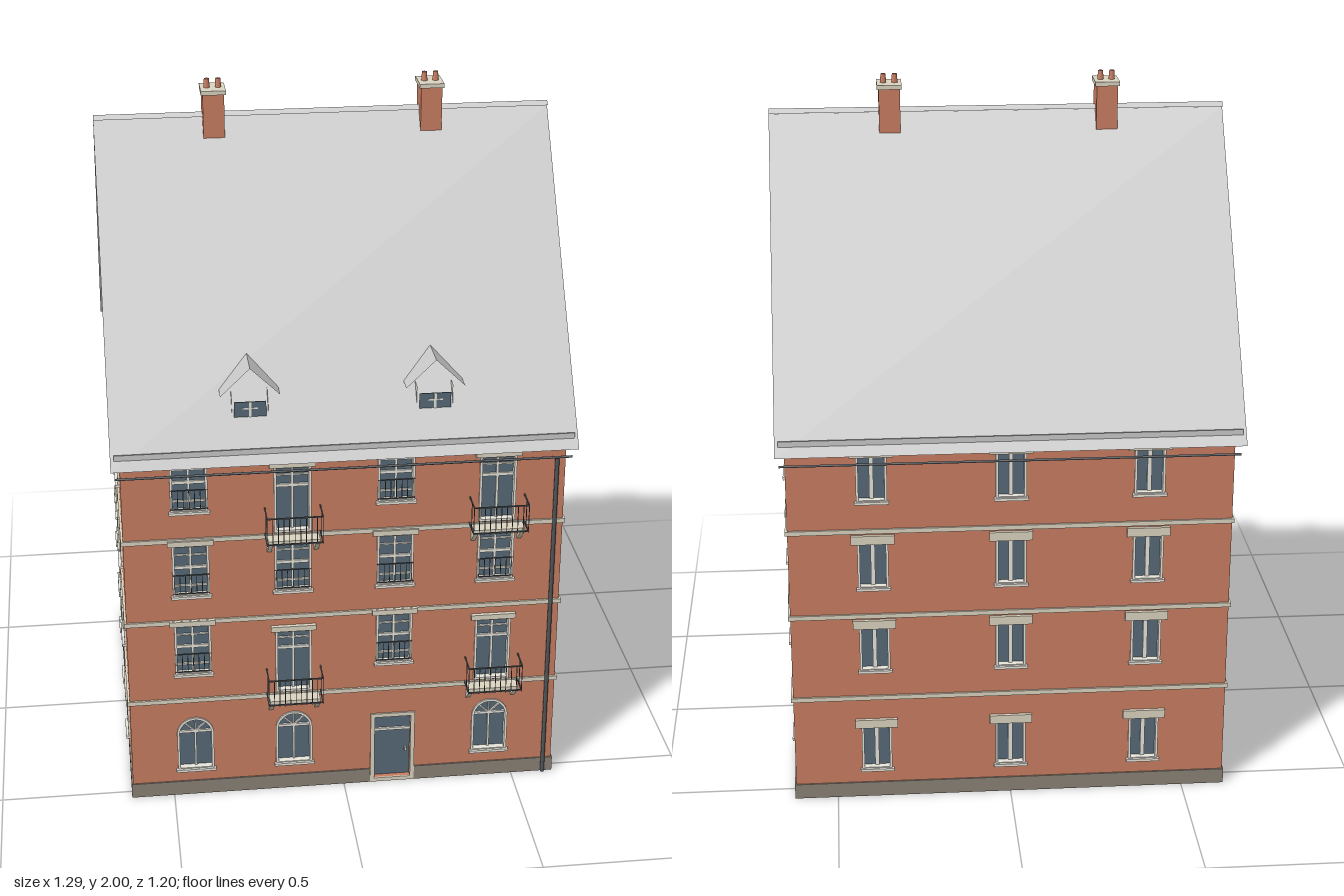
import * as THREE from 'three';

const mat = (name, color, side = THREE.FrontSide) => {
  const m = new THREE.MeshStandardMaterial({ color, side });
  m.name = name;
  return m;
};
const brick = mat('brick', 0xc87d61);
const gableBrick = mat('gable brick', 0xc68a72, THREE.DoubleSide);
const stone = mat('cream stone', 0xdad3c0, THREE.DoubleSide);
const white = mat('white paint', 0xeeebe2);
const slate = mat('grey roof', 0xc8c8c8, THREE.DoubleSide);
const glass = mat('blue grey glass', 0x566976);
const iron = mat('dark iron', 0x505458);
const plinthGrey = mat('plinth grey', 0x898176);

function add(parent, name, geometry, material, x = 0, y = 0, z = 0) {
  const m = new THREE.Mesh(geometry, material);
  m.name = name;
  m.position.set(x, y, z);
  parent.add(m);
  return m;
}
const box = (parent, name, material, w, h, d, x, y, z) =>
  add(parent, name, new THREE.BoxGeometry(w, h, d), material, x, y, z);

// Flat convex face from corner points, counter-clockwise from outside
function face(parent, name, material, pts) {
  const g = new THREE.BufferGeometry();
  g.setAttribute('position', new THREE.Float32BufferAttribute(pts.flat(), 3));
  g.setIndex(pts.length === 4 ? [0, 1, 2, 0, 2, 3] : [0, 1, 2]);
  g.computeVertexNormals();
  return add(parent, name, g, material);
}

const extrude = (shape, depth) =>
  new THREE.ExtrudeGeometry(shape, { depth, bevelEnabled: false, curveSegments: 16 });

// Outline of an opening, inset by i, with a straight or round head
function outline(o, i = 0, Type = THREE.Path) {
  const p = new Type(), h = o.w / 2 - i;
  p.moveTo(o.x - h, o.y0 + i);
  p.lineTo(o.x + h, o.y0 + i);
  if (o.kind === 'arch') {
    p.lineTo(o.x + h, o.y1 - o.w / 2);
    p.absarc(o.x, o.y1 - o.w / 2, h, 0, Math.PI, false);
  } else {
    p.lineTo(o.x + h, o.y1 - i);
    p.lineTo(o.x - h, o.y1 - i);
  }
  p.closePath();
  return p;
}

// Window or door: glazing, surround, bars and lintel
function buildOpening(parent, o) {
  const g = new THREE.Group();
  g.name = o.kind === 'door' ? 'frontDoor' : 'window';
  parent.add(g);
  const { x, w, y0, y1, kind } = o, h = y1 - y0;
  add(g, 'pane', extrude(outline(o, 0, THREE.Shape), 0.008), glass, 0, 0, -0.022);
  const ring = outline(o, kind === 'door' ? -0.012 : 0, THREE.Shape);
  ring.holes.push(outline(o, kind === 'door' ? 0 : 0.007));
  add(g, 'surround', extrude(ring, 0.02), kind === 'door' ? stone : white, 0, 0, -0.015);
  const bar = (bw, bh, bx, by) => box(g, 'glazingBar', white, bw, bh, 0.008, bx, by, -0.012);
  if (kind === 'door') {
    bar(w, 0.008, x, 0.172);
    box(g, 'doorHandle', stone, 0.005, 0.012, 0.012, x + w * 0.38, 0.1, -0.01);
    return;
  }
  if (kind === 'arch') {
    const s = y1 - w / 2;
    bar(w, 0.008, x, s);
    bar(0.006, s - y0, x, (s + y0) / 2);
    for (const a of [-0.8, 0, 0.8]) {
      const b = bar(0.004, w / 2, x - Math.sin(a) * w / 4, s + Math.cos(a) * w / 4);
      b.rotation.z = a;
    }
  } else if (kind === 'plain') {
    bar(0.012, h, x, (y0 + y1) / 2);
    box(g, 'lintel', stone, w + 0.035, 0.026, 0.012, x, y1 - 0.002, 0.004);
  } else {
    const t = kind === 'balcony' ? y1 - 0.065 : y0 + h * 0.53;
    bar(0.007, h, x, (y0 + y1) / 2);
    bar(w, 0.009, x, t);
    bar(w, 0.004, x, (t + y1) / 2);
    box(g, 'lintel', stone, w + 0.025, 0.016, 0.014, x, y1 + 0.006, 0.005);
    if (kind === 'railed') {
      bar(w, 0.005, x, y0 + 0.03);
      for (const ry of [0.012, 0.07]) box(g, 'guardRail', iron, w, 0.003, 0.003, x, y0 + ry, 0.005);
      for (let i = 0; i < 7; i++)
        box(g, 'guardBar', iron, 0.002, 0.058, 0.002, x + (i / 6 - 0.5) * (w - 0.01), y0 + 0.041, 0.005);
    }
  }
  if (kind !== 'balcony') box(g, 'sill', white, w + 0.01, 0.008, 0.018, x, y0, 0.003);
}

// Small iron balcony on stone brackets
function buildBalcony(parent, x, y) {
  const g = new THREE.Group();
  g.name = 'balcony';
  g.position.set(x, y, 0);
  parent.add(g);
  const D = 0.069, H = 0.085, W = 0.155;
  box(g, 'slab', stone, W - 0.01, 0.01, 0.045, 0, -0.003, 0.022);
  for (const ry of [0.005, H]) {
    box(g, 'frontRail', iron, W, 0.0035, 0.0035, 0, ry, D);
    for (const s of [-1, 1]) box(g, 'sideRail', iron, 0.0035, 0.0035, D, s * W / 2, ry, D / 2);
  }
  for (let i = 0; i <= 10; i++)
    box(g, 'baluster', iron, 0.002, H, 0.002, (i / 10 - 0.5) * W, H / 2, D);
  const wedge = new THREE.Shape([[0, 0], [0.048, 0], [0, -0.045]].map(p => new THREE.Vector2(...p)));
  for (const s of [-1, 1]) {
    box(g, 'sideBaluster', iron, 0.002, H, 0.002, s * W / 2, H / 2, D / 2);
    const b = add(g, 'bracket', extrude(wedge, 0.012), stone, s * 0.066 + 0.006, -0.008, 0);
    b.rotation.y = -Math.PI / 2;
  }
}

// One facade in its own frame: x along the wall, z outwards
function buildFacade(parent, name, width, openings, x, z, turn) {
  const g = new THREE.Group();
  g.name = name;
  g.position.set(x, 0, z);
  g.rotation.y = turn;
  parent.add(g);
  const s = new THREE.Shape([[-1, 0], [1, 0], [1, 1.11], [-1, 1.11]]
    .map(([a, b]) => new THREE.Vector2(a * width / 2, b)));
  for (const o of openings) s.holes.push(outline(o));
  add(g, 'wall', extrude(s, 0.024), brick, 0, 0, -0.024);
  openings.forEach(o => buildOpening(g, o));
  for (const y of [0.32, 0.578, 0.838])
    box(g, 'stringCourse', stone, width + 0.012, 0.013, 0.012, 0, y, 0);
  box(g, 'cornice', stone, width + 0.03, 0.014, 0.026, 0, 1.107, 0.002);
  // Plinth, broken at a door
  const door = openings.find(o => o.kind === 'door');
  const W = width / 2 + 0.004;
  const spans = door ? [[-W, door.x - 0.064], [door.x + 0.064, W]] : [[-W, W]];
  for (const [a, b] of spans) box(g, 'plinth', plinthGrey, b - a, 0.045, 0.008, (a + b) / 2, 0.0225, 0);
  return g;
}

// Open-fronted dormer whose back runs into the main roof
function buildDormer(parent, x) {
  const g = new THREE.Group();
  g.name = 'dormer';
  g.position.x = x;
  parent.add(g);
  const e = 1.255, r = 1.335, w = 0.082;
  face(g, 'dormerRoof', slate, [[w, e, 0.5], [w, e, 0.38], [0, r, 0.38], [0, r, 0.5]]);
  face(g, 'dormerRoof', slate, [[-w, e, 0.38], [-w, e, 0.5], [0, r, 0.5], [0, r, 0.38]]);
  for (const s of [-1, 1])
    face(g, 'cheek', stone, [[s * 0.05, 1.18, 0.49], [s * 0.05, 1.18, 0.4], [s * 0.05, e, 0.4], [s * 0.05, e, 0.49]]);
  box(g, 'dormerPane', glass, 0.088, 0.044, 0.003, 0, 1.213, 0.494);
  box(g, 'dormerMullion', white, 0.007, 0.044, 0.003, 0, 1.213, 0.496);
  for (const s of [-1, 1]) box(g, 'dormerBar', white, 0.018, 0.004, 0.003, s * 0.012, 1.216, 0.496);
}

function buildChimney(parent, x) {
  const g = new THREE.Group();
  g.name = 'chimney';
  g.position.set(x, 0, -0.012);
  parent.add(g);
  box(g, 'stack', brick, 0.06, 0.165, 0.075, 0, 1.8825, 0);
  box(g, 'cap', stone, 0.07, 0.012, 0.086, 0, 1.969, 0);
  for (const s of [-1, 1]) {
    add(g, 'pot', new THREE.CylinderGeometry(0.007, 0.009, 0.027, 12), brick, s * 0.016, 1.9865, 0);
    const flue = add(g, 'flue', new THREE.CircleGeometry(0.004, 12), iron, s * 0.016, 2.0005, 0);
    flue.rotation.x = -Math.PI / 2;
  }
}

export function createModel() {
  const house = new THREE.Group();
  house.name = 'townhouse';
  const zc = -0.012, hx = 0.62, hz = 0.54;

  // Openings of each facade
  const rows = [[0.088, 0.24], [0.405, 0.555], [0.663, 0.815], [0.925, 1.075]];
  const plain = xs => rows.flatMap(([y0, y1]) => xs.map(x => ({ x, w: 0.086, y0, y1, kind: 'plain' })));
  const cols = [-0.434, -0.147, 0.143, 0.43];
  const front = [];
  cols.forEach((x, i) => {
    front.push(i === 2 ? { x, w: 0.106, y0: 0.0125, y1: 0.222, kind: 'door' }
      : { x, w: 0.106, y0: 0.085, y1: 0.26, kind: 'arch' });
    front.push({ x, w: 0.104, y0: 0.66, y1: 0.825, kind: 'railed' });
    if (i % 2) for (const y of [0.33, 0.848])
      front.push({ x, w: 0.104, y0: y, y1: y + 0.205, kind: 'balcony' });
    else for (const y of [0.405, 0.925])
      front.push({ x, w: 0.104, y0: y, y1: y + 0.165, kind: 'railed' });
  });
  const f = buildFacade(house, 'frontFacade', hx * 2, front, 0, zc + hz, 0);
  for (const i of [1, 3]) for (const y of [0.322, 0.84]) buildBalcony(f, cols[i], y);
  buildFacade(house, 'backFacade', hx * 2, plain([-0.385, 0, 0.385]), 0, zc - hz, Math.PI);
  for (const s of [-1, 1])
    buildFacade(house, s > 0 ? 'leftFacade' : 'rightFacade', hz * 2, plain([-0.31, 0, 0.31]), s * hx, zc, s * Math.PI / 2);

  // Downpipe
  add(house, 'downpipe', new THREE.CylinderGeometry(0.006, 0.006, 1.04, 10), iron, 0.595, 0.52, zc + hz + 0.006);

  // Gables
  for (const s of [-1, 1])
    face(house, 'gable', gableBrick, [[s * hx, 1.11, zc + s * 0.525], [s * hx, 1.11, zc - s * 0.525], [s * hx, 1.865, zc]]);

  // Roof slopes with ridge flashing, snow guard and gutter
  const X = 0.645;
  for (const turn of [0, Math.PI]) {
    const g = new THREE.Group();
    g.name = 'roofSide';
    g.position.z = zc;
    g.rotation.y = turn;
    house.add(g);
    face(g, 'roofSlope', slate, [[-X, 1.08, 0.588], [X, 1.08, 0.588], [X, 1.89, 0], [-X, 1.89, 0]]);
    face(g, 'ridgeCap', slate, [[-X, 1.893, 0.012], [X, 1.893, 0.012], [X, 1.905, 0], [-X, 1.905, 0]]);
    box(g, 'snowGuard', slate, 1.27, 0.016, 0.004, 0, 1.114, 0.568);
    const gutter = add(g, 'gutter', new THREE.CylinderGeometry(0.0035, 0.0035, 1.27, 8), iron, 0, 1.043, 0.555);
    gutter.rotation.z = Math.PI / 2;
  }

  for (const x of [-0.258, 0.253]) buildDormer(house, x);
  for (const x of [-0.31, 0.305]) buildChimney(house, x);
  return house;
}
